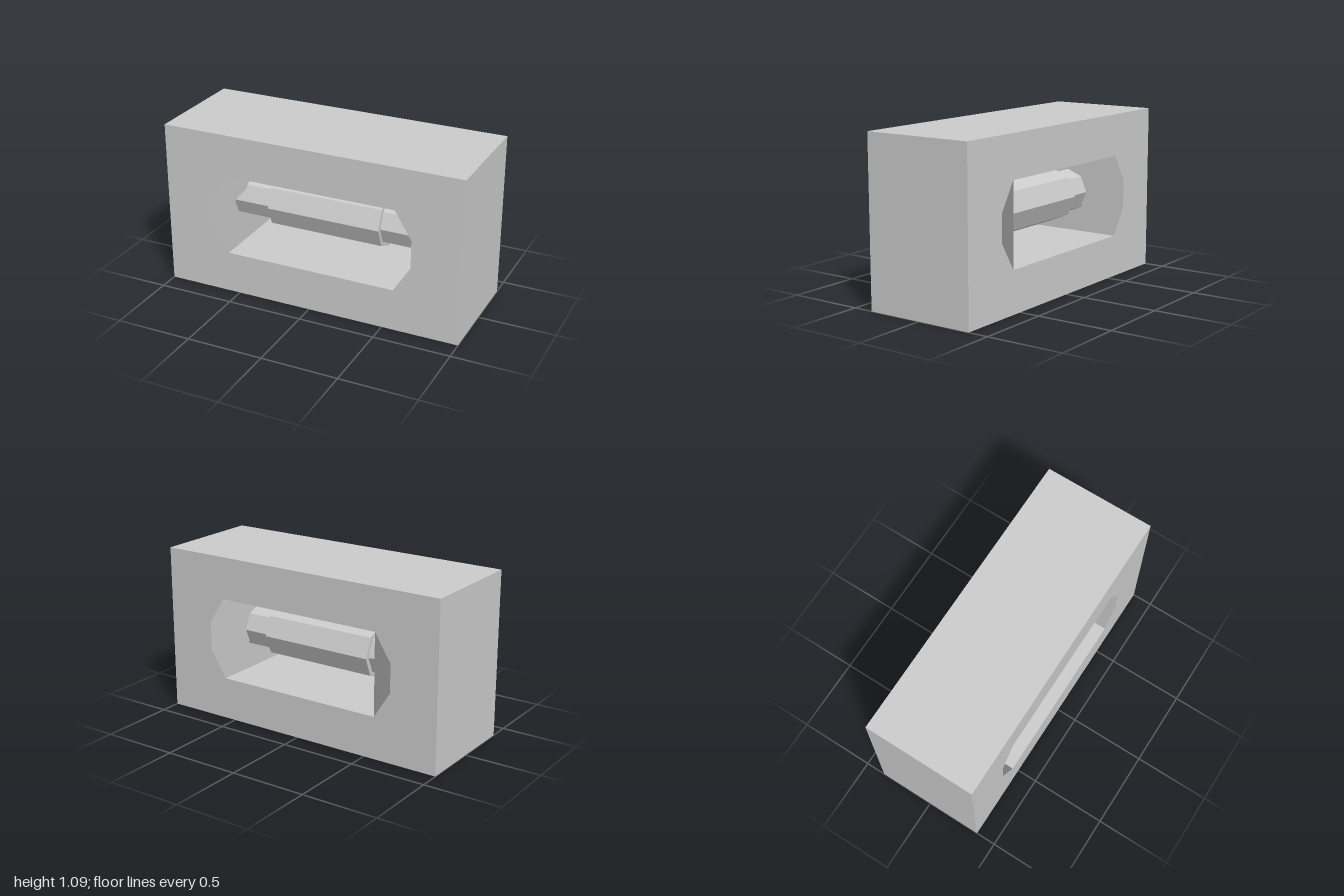
import * as THREE from 'three';

export function createModel() {
  const group = new THREE.Group();
  const material = new THREE.MeshStandardMaterial({ color: 0xcccccc, side: THREE.DoubleSide });
  const flat = new THREE.MeshStandardMaterial({ color: 0xcccccc, flatShading: true });
  const W = 2, H = 1.085, D = 0.735, zf = D / 2;
  const midY = 0.5425, holeX = 0.57, holeTop = 0.81, holeBottom = 0.275;

  const add = (name, geometry, mat = material) => {
    const mesh = new THREE.Mesh(geometry, mat);
    mesh.name = name;
    group.add(mesh);
    return mesh;
  };

  // half outline of the opening, top to bottom
  const outline = [[holeX, holeTop], [0.68, 0.635], [0.68, 0.45], [holeX, holeBottom]];

  // front and back faces with the six-sided opening
  const face = new THREE.Shape([[-1, 0], [1, 0], [1, H], [-1, H]].map(([x, y]) => new THREE.Vector2(x, y)));
  const ring = [...outline, ...outline.map(([x, y]) => [-x, y]).reverse()];
  face.holes.push(new THREE.Path(ring.map(([x, y]) => new THREE.Vector2(x, y))));
  const faceGeometry = new THREE.ShapeGeometry(face);
  add('frontFace', faceGeometry).position.z = zf;
  const back = add('backFace', faceGeometry);
  back.position.z = -zf;
  back.rotation.y = Math.PI;

  // outer walls, and the floor and roof of the opening
  const slab = (name, width, y, up) => {
    const mesh = add(name, new THREE.PlaneGeometry(width, D));
    mesh.position.y = y;
    mesh.rotation.x = up ? -Math.PI / 2 : Math.PI / 2;
  };
  slab('blockTop', W, H, true);
  slab('blockBottom', W, 0, false);
  slab('openingFloor', holeX * 2, holeBottom, true);
  slab('openingRoof', holeX * 2, holeTop, false);

  for (const s of [-1, 1]) {
    const side = s > 0 ? 'left' : 'right';
    const wall = add(side + 'BlockSide', new THREE.PlaneGeometry(D, H));
    wall.position.set(s, H / 2, 0);
    wall.rotation.y = s * Math.PI / 2;

    // folded end wall of the opening: a fan from its lower back corner
    const loop = [
      ...outline.map(([x, y]) => [s * x, y, -zf]).reverse(),
      ...outline.map(([x, y]) => [s * x, y, zf]),
    ];
    const index = [];
    for (let i = 1; i < loop.length - 1; i++) index.push(0, ...(s < 0 ? [i, i + 1] : [i + 1, i]));
    const end = new THREE.BufferGeometry();
    end.setAttribute('position', new THREE.Float32BufferAttribute(loop.flat(), 3));
    end.setAttribute('normal', new THREE.Float32BufferAttribute(loop.flatMap(() => [-s, 0, 0]), 3));
    end.setIndex(index);
    add(side + 'OpeningEnd', end);
  }

  // eight-sided bar across the opening, with a thicker grip
  const bar = (name, radius, length) => {
    const mesh = add(name, new THREE.CylinderGeometry(radius, radius, length, 8), flat);
    mesh.rotation.z = Math.PI / 2;
    mesh.position.y = midY + 0.0025;
  };
  bar('handleBar', 0.145, 1.36);
  bar('handleGrip', 0.175, 0.77);

  return group;
}
